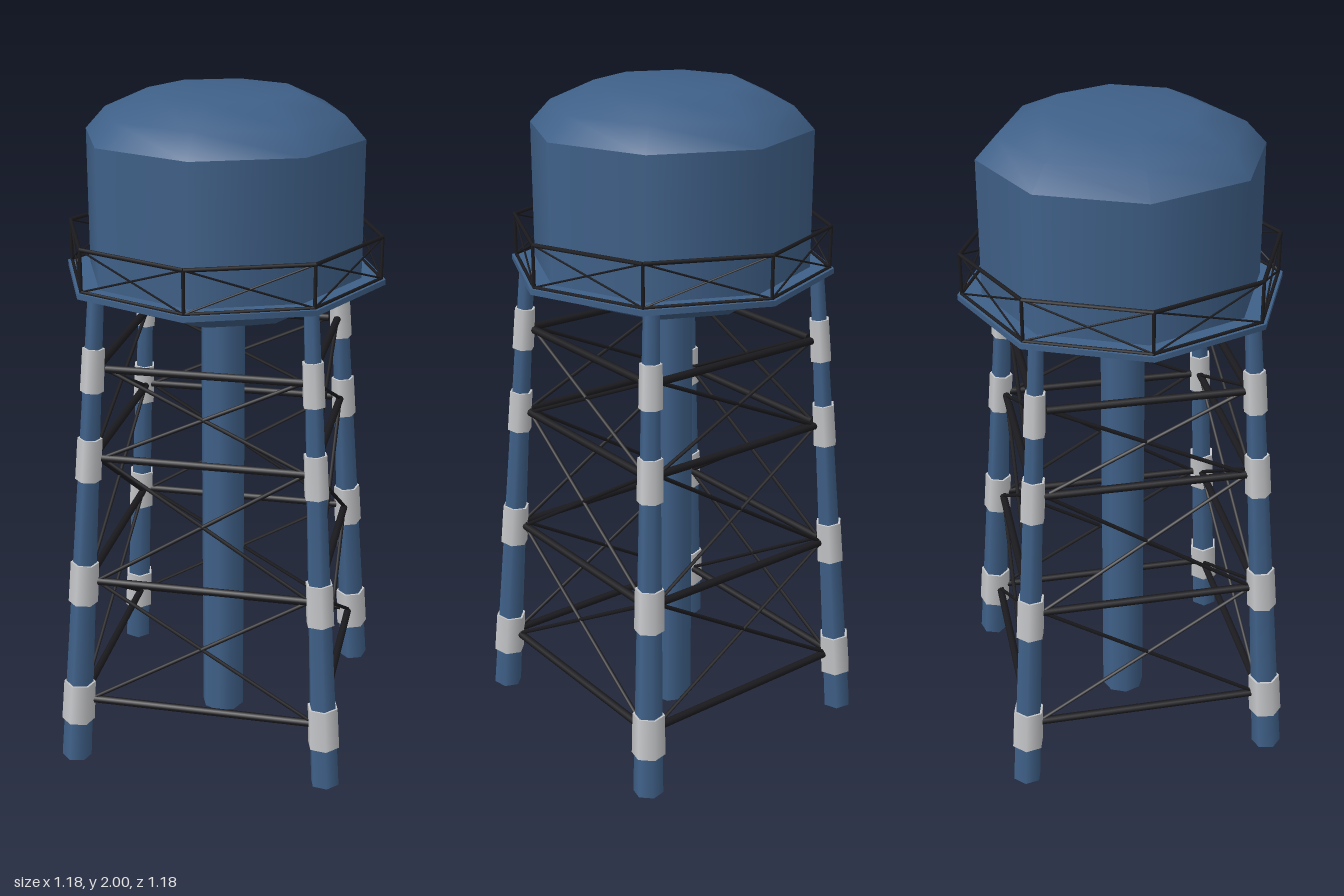
import * as THREE from 'three';

const blue = new THREE.MeshStandardMaterial({ color: 0x3f6088 });
blue.name = 'tank blue';
const white = new THREE.MeshStandardMaterial({ color: 0xc6c7ca });
white.name = 'band white';
const black = new THREE.MeshStandardMaterial({ color: 0x1b1b1f });
black.name = 'strut black';

const UP = new THREE.Vector3(0, 1, 0);
const LEVELS = [0.19, 0.588, 0.98, 1.25]; // heights of bands and struts
const LEG_TOP = 1.465;
const LEG_TWIST = 0.036; // legs sit slightly turned from the axes

const legCentre = (y) => 0.55 - 0.12 * (y / LEG_TOP);
const legRadius = (y) => 0.045 - 0.022 * (y / LEG_TOP);

function add(group, name, geometry, material) {
  const mesh = new THREE.Mesh(geometry, material);
  mesh.name = name;
  group.add(mesh);
  return mesh;
}

// Straight round bar from a to b
function bar(group, name, a, b, r0, r1, sides, material, start = 0) {
  const dir = b.clone().sub(a);
  const geo = new THREE.CylinderGeometry(r1, r0, dir.length(), sides, 1, false, start);
  const mesh = add(group, name, geo, material);
  mesh.position.copy(a).add(b).multiplyScalar(0.5);
  mesh.quaternion.setFromUnitVectors(UP, dir.normalize());
  return mesh;
}

function turned(group, name, profile) {
  const pts = profile.map(([r, y]) => new THREE.Vector2(r, y));
  return add(group, name, new THREE.LatheGeometry(pts, 8), blue);
}

function createTank() {
  const tank = new THREE.Group();
  tank.name = 'tank';
  turned(tank, 'belly', [[0, 1.33], [0.14, 1.34], [0.28, 1.385], [0.41, 1.465]]);
  turned(tank, 'wall', [[0.41, 1.465], [0.41, 1.875]]);
  turned(tank, 'roof', [[0.41, 1.875], [0.35, 1.94], [0.22, 1.998], [0, 2.0]]);
  return tank;
}

function createWalkway() {
  const walkway = new THREE.Group();
  walkway.name = 'walkway';
  const deck = add(walkway, 'deck', new THREE.CylinderGeometry(0.48, 0.48, 0.016, 8), blue);
  deck.position.y = 1.468;

  // Railing: posts on the eight corners, rails and a cross in each panel
  const corner = (i, y) => new THREE.Vector3(
    0.467 * Math.sin(i * Math.PI / 4), y, 0.467 * Math.cos(i * Math.PI / 4));
  for (let i = 0; i < 8; i++) {
    const low = 1.479, high = 1.6;
    bar(walkway, 'railPost', corner(i, 1.47), corner(i, high), 0.005, 0.005, 6, black);
    bar(walkway, 'topRail', corner(i, high), corner(i + 1, high), 0.006, 0.006, 6, black);
    bar(walkway, 'bottomRail', corner(i, low), corner(i + 1, low), 0.005, 0.005, 6, black);
    bar(walkway, 'railCross', corner(i, low), corner(i + 1, high), 0.003, 0.003, 5, black);
    bar(walkway, 'railCross', corner(i, high), corner(i + 1, low), 0.003, 0.003, 5, black);
  }
  return walkway;
}

// One six-sided leg on the +z side, with its bands
function createLeg() {
  const leg = new THREE.Group();
  leg.name = 'leg';
  const at = (y) => new THREE.Vector3(0, y, legCentre(y));
  bar(leg, 'legPole', at(0), at(LEG_TOP), legRadius(0), legRadius(LEG_TOP), 6, blue, Math.PI / 6);
  for (const y of LEVELS) {
    const low = y - 0.063, high = y + 0.065;
    bar(leg, 'legBand', at(low), at(high),
      legRadius(low) + 0.007, legRadius(high) + 0.007, 6, white, Math.PI / 6);
  }
  return leg;
}

// Struts and cross braces between one pair of neighbouring legs (+z to +x)
function createBracing() {
  const bracing = new THREE.Group();
  bracing.name = 'bracing';
  const start = (y) => new THREE.Vector3(0.015, y, legCentre(y) - 0.035);
  const end = (y) => new THREE.Vector3(legCentre(y) - 0.025, y, 0.015);
  LEVELS.forEach((y, i) => {
    bar(bracing, 'strut', start(y), end(y), 0.012, 0.012, 8, black);
    if (i === 0) return;
    const below = LEVELS[i - 1];
    bar(bracing, 'crossBrace', start(below), end(y), 0.006, 0.006, 6, black);
    bar(bracing, 'crossBrace', start(y), end(below), 0.006, 0.006, 6, black);
  });
  return bracing;
}

export function createModel() {
  const model = new THREE.Group();
  model.name = 'waterTower';
  model.add(createTank(), createWalkway());

  // Central riser pipe
  const pipe = add(model, 'centralPipe', new THREE.CylinderGeometry(0.067, 0.067, 1.36, 8), blue);
  pipe.position.y = 0.68;

  // Four legs and the bracing between them
  const frame = new THREE.Group();
  frame.name = 'supportFrame';
  for (let i = 0; i < 4; i++) {
    const side = new THREE.Group();
    side.name = 'frameSide';
    side.add(createLeg(), createBracing());
    side.rotation.y = i * Math.PI / 2;
    frame.add(side);
  }
  frame.rotation.y = LEG_TWIST;
  model.add(frame);
  return model;
}
